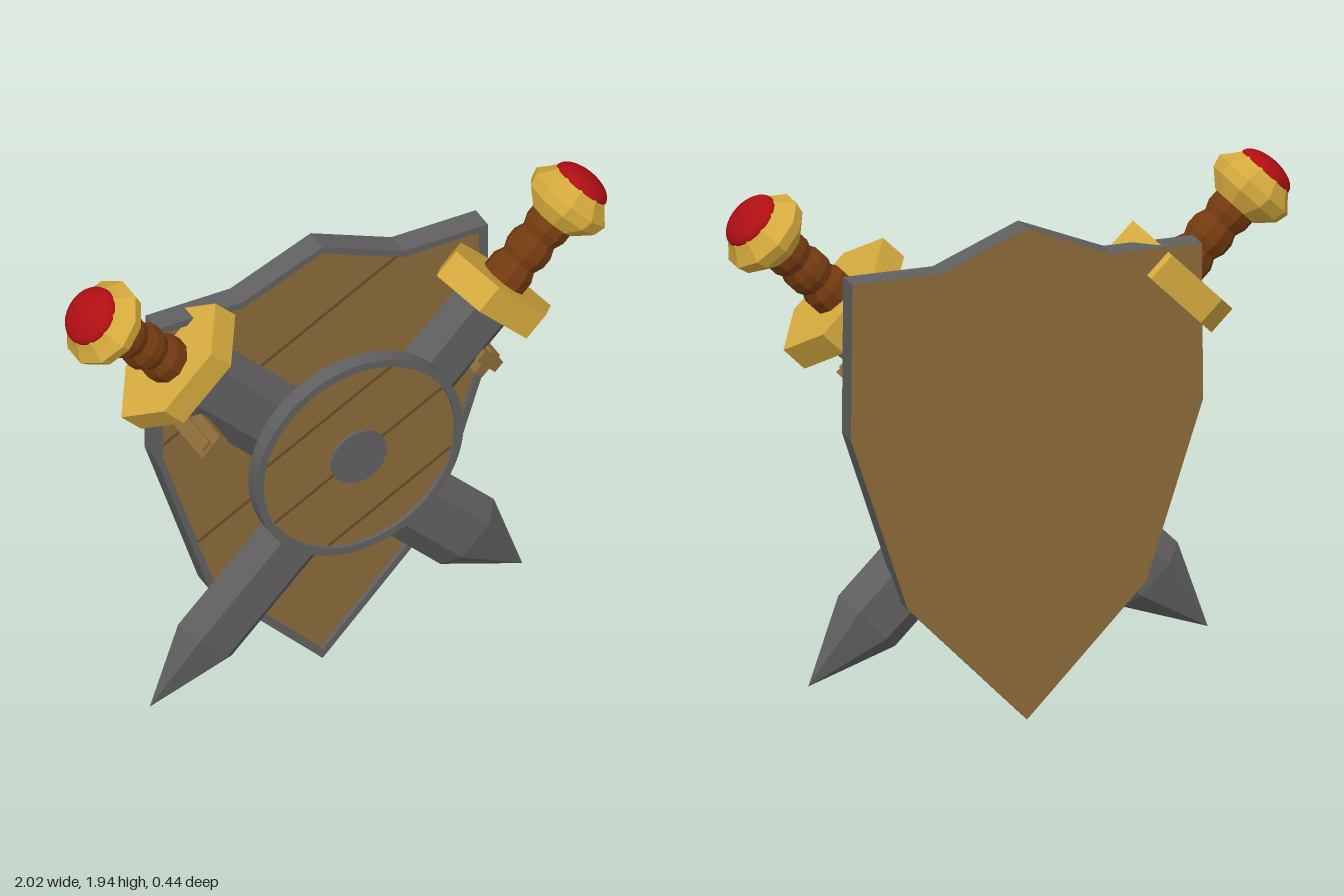
import * as THREE from 'three';

const mat = (name, color, extra = {}) => {
  const m = new THREE.MeshStandardMaterial({ color, ...extra });
  m.name = name;
  return m;
};

export function createModel() {
  const wood = mat('wood', 0x8b6a39);
  const groove = mat('darkWood', 0x6a4d25);
  const metal = mat('metal', 0x606060, { flatShading: true });
  const gold = mat('gold', 0xd6ab3e, { flatShading: true });
  const grip = mat('leather', 0x733a10, { flatShading: true });
  const ruby = mat('ruby', 0xb00f14);
  const root = new THREE.Group();

  const add = (parent, name, geometry, material, x = 0, y = 0, z = 0) => {
    const m = new THREE.Mesh(geometry, material);
    m.name = name;
    m.position.set(x, y, z);
    parent.add(m);
    return m;
  };
  const extrude = (shape, depth) =>
    new THREE.ExtrudeGeometry(shape, { depth, bevelEnabled: false, curveSegments: 36 });
  const lathe = (pts, sides) =>
    new THREE.LatheGeometry(pts.map(([r, s]) => new THREE.Vector2(r, s)), sides);

  // Mitred inset of a counter-clockwise outline
  const inset = (pts, d) => pts.map((p, i) => {
    const a = pts[(i + pts.length - 1) % pts.length], b = pts[(i + 1) % pts.length];
    const u = p.clone().sub(a).normalize(), v = b.clone().sub(p).normalize();
    const n1 = new THREE.Vector2(-u.y, u.x), n2 = new THREE.Vector2(-v.y, v.x);
    return p.clone().addScaledVector(n1.clone().add(n2), d / (1 + n1.dot(n2)));
  });

  // Plank seams, thin strips running up to the right
  const slope = Math.atan(0.55);
  const seam = (parent, x1, y1, x2, y2, z) => {
    const len = Math.hypot(x2 - x1, y2 - y1);
    const m = add(parent, 'plankSeam', new THREE.BoxGeometry(len, 0.012, 0.004), groove,
      (x1 + x2) / 2, (y1 + y2) / 2, z);
    m.rotation.z = Math.atan2(y2 - y1, x2 - x1);
  };

  // Large shield: planked body, metal rim, plain wooden back
  const shield = new THREE.Group();
  shield.name = 'shield';
  root.add(shield);
  const half = [[0.44, 0.455], [0.65, 1.1], [0.645, 1.67], [0.315, 1.67]];
  const outline = [[0, 0], ...half, [0, 1.8], ...half.map(([x, y]) => [-x, y]).reverse()]
    .map(([x, y]) => new THREE.Vector2(x, y));
  const inner = inset(outline, 0.025);
  const rimShape = new THREE.Shape(outline);
  rimShape.holes.push(new THREE.Path(inner));
  add(shield, 'shieldRim', extrude(rimShape, 0.09), metal, 0, 0, -0.19);
  add(shield, 'shieldBody', extrude(new THREE.Shape(inner), 0.07), wood, 0, 0, -0.188);
  add(shield, 'shieldBack', new THREE.ShapeGeometry(new THREE.Shape(outline)), wood, 0, 0, -0.192)
    .rotation.y = Math.PI;
  seam(shield, -0.62, 1.139, 0.3, 1.645, -0.117);
  seam(shield, -0.48, 0.669, 0.62, 1.274, -0.117);

  // Small round shield in front of the blades
  const buckler = new THREE.Group();
  buckler.name = 'roundShield';
  buckler.position.set(0, 1.07, 0);
  root.add(buckler);
  const R = 0.405, r = 0.375;
  const ring = new THREE.Shape().absarc(0, 0, R, 0, Math.PI * 2);
  ring.holes.push(new THREE.Path().absarc(0, 0, r, 0, Math.PI * 2));
  add(buckler, 'roundRim', extrude(ring, 0.06), metal, 0, 0, 0.12);
  add(buckler, 'roundBody', new THREE.CylinderGeometry(r, r, 0.044, 36), wood, 0, 0, 0.143)
    .rotation.x = Math.PI / 2;
  add(buckler, 'roundBack', new THREE.CircleGeometry(R, 36), wood, 0, 0, 0.119)
    .rotation.y = Math.PI;
  add(buckler, 'boss', new THREE.CylinderGeometry(0.108, 0.108, 0.012, 28), metal, 0, 0, 0.17)
    .rotation.x = Math.PI / 2;
  for (const d of [0.24, 0, -0.254]) {
    const c = Math.sqrt(0.372 ** 2 - d * d);
    const nx = -Math.sin(slope) * d, ny = Math.cos(slope) * d;
    const dx = Math.cos(slope) * c, dy = Math.sin(slope) * c;
    seam(buckler, nx - dx, ny - dy, nx + dx, ny + dy, 0.1645);
  }

  // Six-sided prism along y with its points on the x axis, flattened in z
  const hexPrism = (top, bottom, h, flat) =>
    new THREE.CylinderGeometry(top, bottom, h, 6, 1, false, Math.PI / 2).scale(1, 1, flat);

  // Crossed swords, hilts up, one in front of the other
  for (const side of [1, -1]) {
    const sword = new THREE.Group();
    sword.name = side > 0 ? 'frontSword' : 'backSword';
    sword.position.set(0, 0.93, side * 0.0625);
    sword.rotation.z = -side * Math.PI / 4;
    root.add(sword);
    add(sword, 'blade', hexPrism(0.148, 0.148, 1.55, 0.488), metal, 0, 0.005);
    add(sword, 'bladeTip', hexPrism(0.148, 0, 0.305, 0.488), metal, 0, -0.9225);
    add(sword, 'crossguard', hexPrism(0.26, 0.26, 0.11, 0.64), gold, 0, 0.825);
    add(sword, 'grip', lathe([[0.086, 0.87], [0.086, 0.93], [0.07, 0.965], [0.084, 1.0],
      [0.084, 1.04], [0.07, 1.075], [0.084, 1.11], [0.084, 1.17]], 10), grip);
    add(sword, 'pommel', lathe([[0, 1.145], [0.09, 1.15], [0.148, 1.205], [0.16, 1.25],
      [0.128, 1.285], [0.105, 1.315], [0, 1.315]], 10), gold);
    add(sword, 'pommelGem', new THREE.SphereGeometry(0.108, 24, 8, 0, Math.PI * 2, 0, Math.PI / 2)
      .scale(1, 0.5, 1), ruby, 0, 1.308);

    // Wooden peg that holds the blade to the shield
    const peg = new THREE.Group();
    peg.name = 'peg';
    peg.position.set(side * 0.537, 1.26, 0.0125);
    peg.rotation.z = -side * Math.PI / 4;
    root.add(peg);
    add(peg, 'pegBar', new THREE.BoxGeometry(0.1, 0.045, 0.225), wood);
    add(peg, 'pegCross', new THREE.BoxGeometry(0.04, 0.1, 0.2), wood, side * 0.01, -0.015);
  }
  return root;
}
